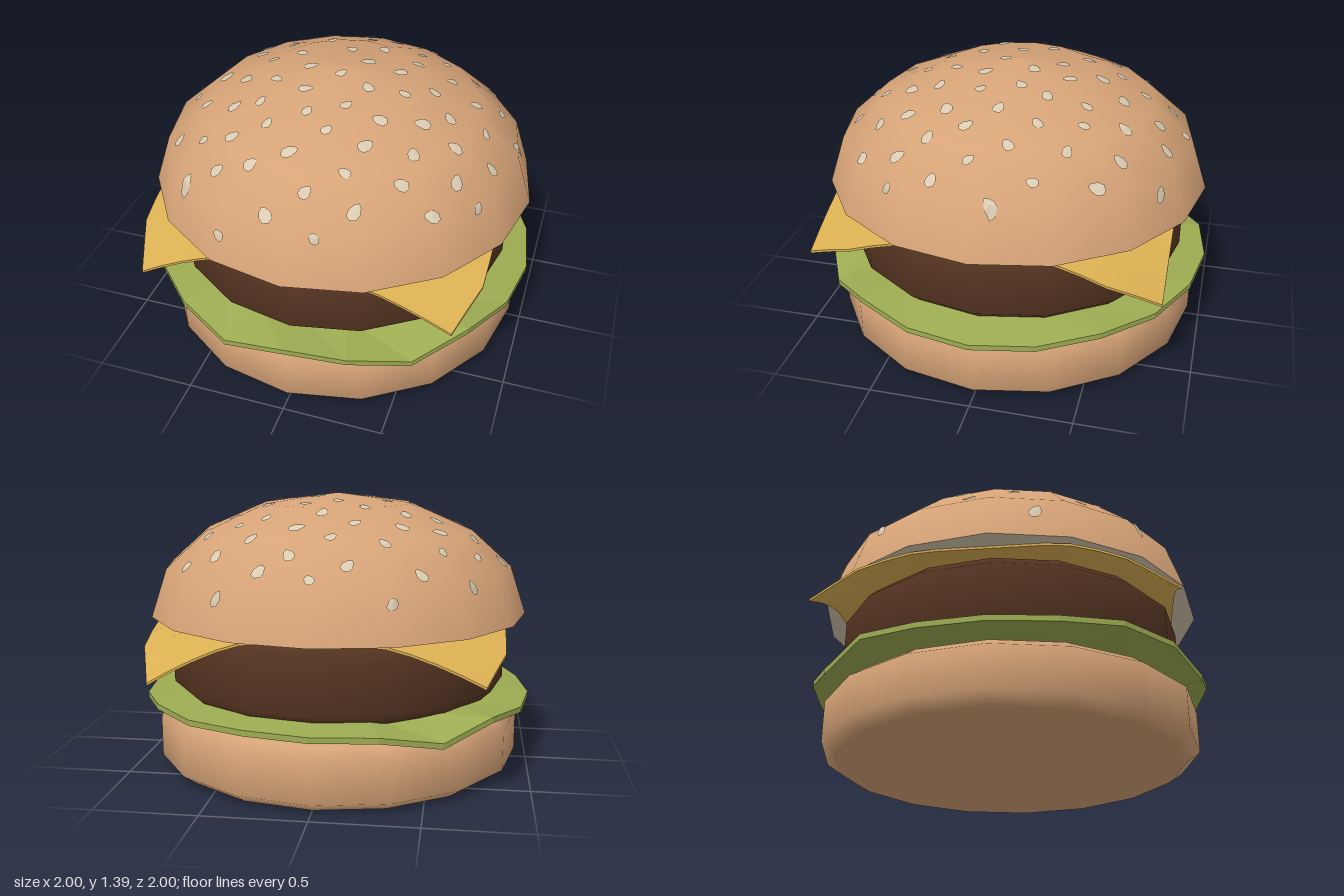
import * as THREE from 'three';

const SIDES = 16;
const DOME = [[0.97, 0.778], [0.89, 1.02], [0.69, 1.2], [0.38, 1.335], [0, 1.385]];

const material = (name, color, side = THREE.FrontSide) => {
  const m = new THREE.MeshStandardMaterial({ color, side });
  m.name = name;
  return m;
};

const part = (name, geometry, mat) => {
  const mesh = new THREE.Mesh(geometry, mat);
  mesh.name = name;
  return mesh;
};

const lathe = (profile) =>
  new THREE.LatheGeometry(profile.map(([r, y]) => new THREE.Vector2(r, y)), SIDES);

// Puck with bevelled rims
const puck = (radius, y0, y1, bevelR, bevelY) => lathe([
  [0, y0], [radius - bevelR - 0.04, y0], [radius - bevelR, y0], [radius, y0 + bevelY],
  [radius, y1 - bevelY], [radius - bevelR, y1], [radius - bevelR - 0.04, y1], [0, y1],
]);

// Geometry from a list of Vector3 triangles, one normal per face
function facetGeometry(points) {
  const geo = new THREE.BufferGeometry().setFromPoints(points);
  geo.computeVertexNormals();
  return geo;
}

// Point on the faceted dome above (x, z), lifted along the slope
function onDome(x, z, lift) {
  const step = (2 * Math.PI) / SIDES;
  const angle = Math.atan2(x, z);
  const local = angle - (Math.floor(angle / step) + 0.5) * step;
  const r = Math.min(0.965, Math.hypot(x, z) * Math.cos(local) / Math.cos(step / 2));
  let i = 0;
  while (i < DOME.length - 2 && r < DOME[i + 1][0]) i++;
  const [r0, y0] = DOME[i], [r1, y1] = DOME[i + 1];
  const length = Math.hypot(r0 - r1, y1 - y0);
  const nr = (y1 - y0) / length, ny = (r0 - r1) / length;
  const y = y0 + (y1 - y0) * (r0 - r) / (r0 - r1);
  return {
    point: new THREE.Vector3(x + Math.sin(angle) * nr * lift, y + ny * lift, z + Math.cos(angle) * nr * lift),
    slope: ny,
  };
}

// Teardrop seeds spread in a jittered spiral and wrapped onto the dome
function seedGeometry(count) {
  let state = 7;
  const random = () => (state = (state * 16807) % 2147483647) / 2147483647;
  const points = [];
  for (let i = 0; i < count; i++) {
    const r = 0.91 * Math.sqrt((i + 0.6) / count) + (random() - 0.5) * 0.03;
    const a = i * 2.39996 + (random() - 0.5) * 0.1;
    const turn = (random() - 0.5) * 2.2;
    const size = 0.85 + random() * 0.35;
    const { point: middle, slope } = onDome(r * Math.sin(a), r * Math.cos(a), 0.008);
    const rim = [];
    for (let k = 0; k < 8; k++) {
      const t = (k / 8) * 2 * Math.PI;
      const along = 0.036 * size * Math.cos(t);
      const across = 0.026 * size * Math.sin(t) * (1 + 0.3 * Math.cos(t));
      const dr = (along * Math.cos(turn) - across * Math.sin(turn)) * slope;
      const dt = along * Math.sin(turn) + across * Math.cos(turn);
      const x = (r + dr) * Math.sin(a) + dt * Math.cos(a);
      const z = (r + dr) * Math.cos(a) - dt * Math.sin(a);
      rim.push(onDome(x, z, 0.006).point);
    }
    rim.forEach((p, k) => points.push(middle, p, rim[(k + 1) % 8]));
  }
  return facetGeometry(points);
}

// Leaf disc: flat middle, rim rising and falling, constant thickness
function lettuceGeometry() {
  const rimY = [0.41, 0.385, 0.325, 0.395, 0.37, 0.36, 0.37, 0.39, 0.385, 0.395,
    0.39, 0.385, 0.325, 0.39, 0.365, 0.36, 0.365, 0.395, 0.385, 0.33];
  const n = rimY.length, thick = 0.028, points = [];
  const at = (i, r, y) => {
    const a = (i / n) * 2 * Math.PI;
    return new THREE.Vector3(r * Math.sin(a), y, r * Math.cos(a));
  };
  const quad = (a, b, c, d) => points.push(a, b, c, a, c, d);
  for (let i = 0; i < n; i++) {
    const j = (i + 1) % n;
    const inner = (k, drop) => at(k, 0.74, 0.405 - drop);
    const outer = (k, drop) => at(k, 1, rimY[k] - drop);
    points.push(at(0, 0, 0.405), inner(i, 0), inner(j, 0));
    quad(inner(i, 0), outer(i, 0), outer(j, 0), inner(j, 0));
    points.push(at(0, 0, 0.405 - thick), inner(j, thick), inner(i, thick));
    quad(inner(j, thick), outer(j, thick), outer(i, thick), inner(i, thick));
    quad(outer(i, thick), outer(j, thick), outer(j, 0), outer(i, 0));
  }
  return facetGeometry(points);
}

// Square slice whose corners droop and pull inwards
function cheeseGeometry() {
  const geo = new THREE.BoxGeometry(1.72, 0.012, 1.7, 14, 1, 14);
  const pos = geo.attributes.position;
  for (let i = 0; i < pos.count; i++) {
    const x = pos.getX(i), z = pos.getZ(i);
    const fold = Math.max(0, (Math.abs(x) + Math.abs(z) - 1.16) / 0.55);
    const depth = x * z > 0 ? 0.175 : 0.21;
    const pull = Math.max(0, (Math.abs(z) - 0.6) / 0.25);
    pos.setX(i, x * (1 - 0.105 * pull));
    pos.setY(i, pos.getY(i) + 0.77 - depth * Math.pow(fold, 1.4));
  }
  geo.computeVertexNormals();
  return geo;
}

export function createModel() {
  const bun = material('toasted bun', 0xd6a377);
  const cream = material('cream', 0xd9cab0);
  const patty = material('grilled meat', 0x553421);
  const cheese = material('cheese', 0xdbb053);
  const lettuce = material('lettuce green', 0x9dac52);

  const model = new THREE.Group();
  model.name = 'burger';

  // Cut face under the top bun
  const cutFace = part('topBunCutFace', new THREE.CircleGeometry(0.97, SIDES), cream);
  cutFace.rotation.x = Math.PI / 2;
  cutFace.position.y = 0.778;

  model.add(
    part('bottomBun', puck(0.94, 0, 0.305, 0.07, 0.05), bun),
    part('lettuce', lettuceGeometry(), lettuce),
    part('patty', puck(0.865, 0.38, 0.75, 0.065, 0.06), patty),
    part('cheeseSlice', cheeseGeometry(), cheese),
    part('topBun', lathe(DOME), bun),
    cutFace,
    part('sesameSeeds', seedGeometry(82), cream),
  );
  return model;
}
